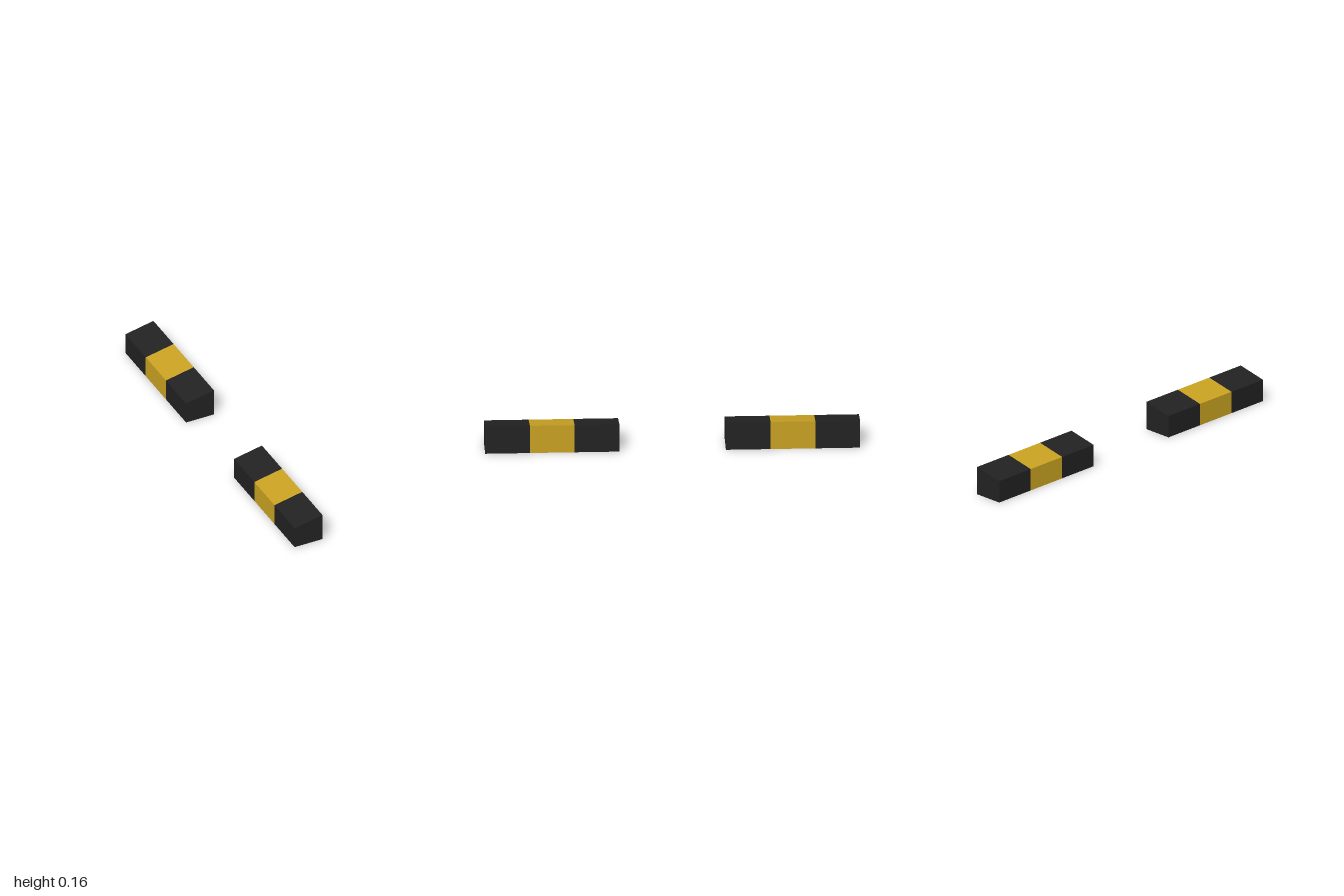
import * as THREE from 'three';

export function createModel() {
  const group = new THREE.Group();
  group.name = 'wheelStops';

  const black = new THREE.MeshStandardMaterial({ color: 0x222222 });
  black.name = 'black rubber';
  const yellow = new THREE.MeshStandardMaterial({ color: 0xc9a222 });
  yellow.name = 'yellow band';

  // Cross-section with a sloping top, higher on the +x side
  const profile = new THREE.Shape([
    new THREE.Vector2(-0.083, 0),
    new THREE.Vector2(0.083, 0),
    new THREE.Vector2(0.083, 0.157),
    new THREE.Vector2(-0.083, 0.123),
  ]);

  // Each stop is three equal lengths: black, yellow, black
  const inner = 0.284;
  const length = (1 - inner) / 3;
  const segment = new THREE.ExtrudeGeometry(profile, { depth: length, bevelEnabled: false });
  const parts = [['rearBlock', black], ['middleBand', yellow], ['frontBlock', black]];

  for (const [name, start] of [['frontStop', inner], ['rearStop', -1]]) {
    const stop = new THREE.Group();
    stop.name = name;
    stop.position.z = start;
    parts.forEach(([partName, material], i) => {
      const mesh = new THREE.Mesh(segment, material);
      mesh.name = partName;
      mesh.position.z = i * length;
      stop.add(mesh);
    });
    group.add(stop);
  }
  return group;
}
